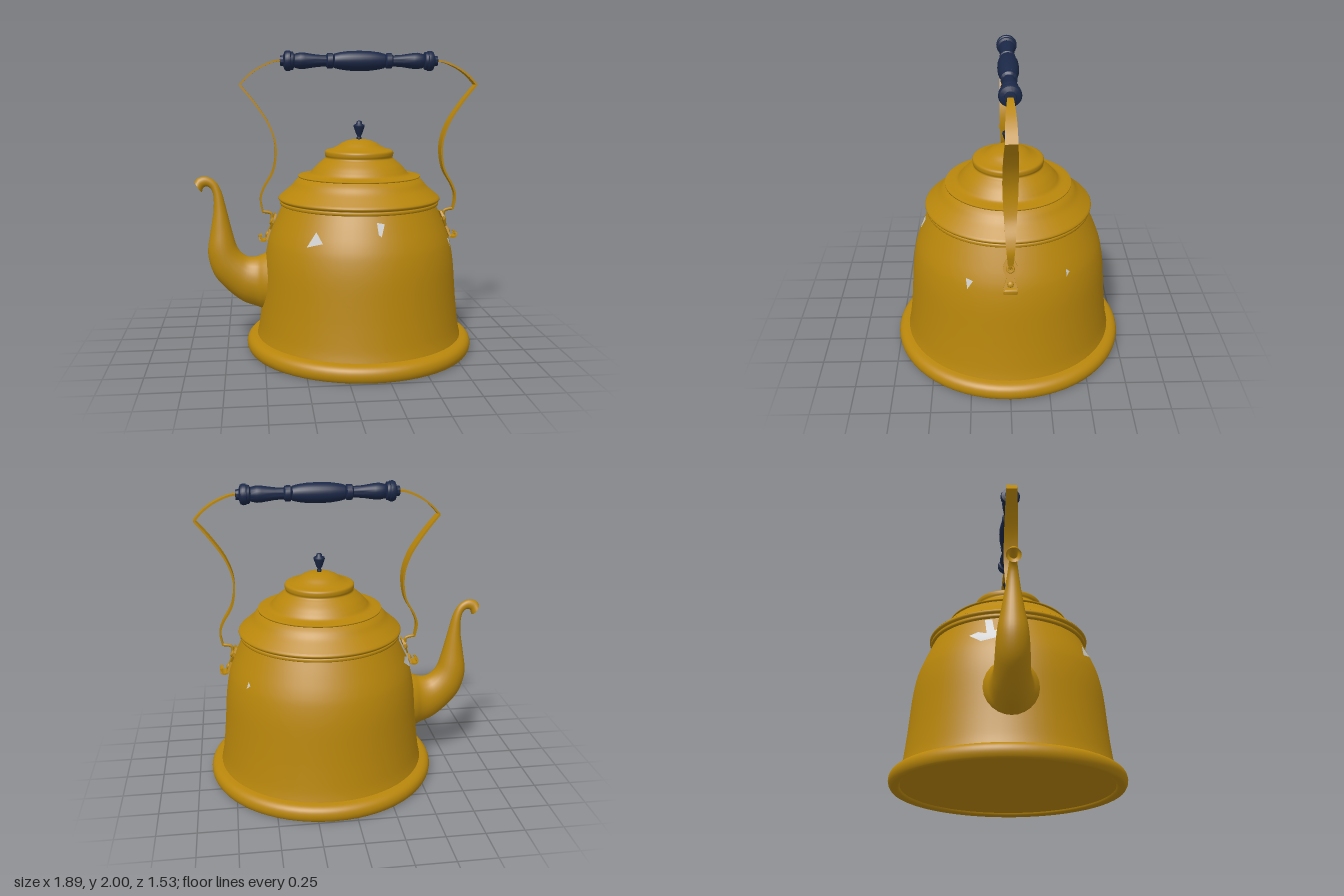
import * as THREE from 'three';
import { toCreasedNormals } from 'three/addons/utils/BufferGeometryUtils.js';

const CX = 0.149; // axis of the kettle body
const enamel = new THREE.MeshStandardMaterial({ color: 0xb8860b, side: THREE.DoubleSide });
const navy = new THREE.MeshStandardMaterial({ color: 0x1b2847 });
const bare = new THREE.MeshStandardMaterial({ color: 0xcccccc, side: THREE.DoubleSide });
const V2 = (x, y) => new THREE.Vector2(x, y);
const V3 = (x, y, z) => new THREE.Vector3(x, y, z);

function part(name, geometry, material, parent) {
  const mesh = new THREE.Mesh(geometry, material);
  mesh.name = name;
  parent.add(mesh);
  return mesh;
}

// Lathe from [radius, height] points; smooth profiles pass through a spline
function turn(points, samples = 0, segments = 64) {
  let pts = points.map(p => V2(...p));
  if (samples) pts = new THREE.SplineCurve(pts).getPoints(samples);
  pts.forEach(p => { p.x = Math.max(p.x, 0); });
  return new THREE.LatheGeometry(pts, segments);
}

// Skin over a row of closed rings
function loft(rings) {
  const n = rings[0].length, pos = [], idx = [];
  rings.forEach(r => r.forEach(p => pos.push(p.x, p.y, p.z)));
  for (let i = 0; i < rings.length - 1; i++) {
    for (let j = 0; j < n; j++) {
      const a = i * n + j, b = i * n + (j + 1) % n;
      idx.push(a, a + n, b, b, a + n, b + n);
    }
  }
  const geo = new THREE.BufferGeometry();
  geo.setAttribute('position', new THREE.Float32BufferAttribute(pos, 3));
  geo.setIndex(idx);
  geo.computeVertexNormals();
  return geo;
}

// Flat metal strip through [x, y, halfWidth] stations
function strip(stations, samples = 24, t = 0.006) {
  const curve = new THREE.CatmullRomCurve3(stations.map(s => V3(...s)));
  const rings = [];
  for (let i = 0; i <= samples; i++) {
    const u = i / samples, p = curve.getPoint(u), d = curve.getTangent(u);
    const n = V2(-d.y, d.x).normalize().multiplyScalar(t);
    rings.push([[1, 1], [1, -1], [-1, -1], [-1, 1]].map(([a, b]) => V3(p.x + a * n.x, p.y + a * n.y, b * p.z)));
  }
  return toCreasedNormals(loft(rings), 0.7);
}

const wall = [[0.695, 0.1], [0.68, 0.17], [0.664, 0.3], [0.653, 0.42], [0.638, 0.6], [0.618, 0.72],
  [0.594, 0.8], [0.557, 0.89], [0.515, 0.985]];

function wallRadius(y) {
  const i = Math.max(1, wall.findIndex(p => p[1] >= y));
  const [a, b] = [wall[i - 1], wall[i]];
  return a[0] + (b[0] - a[0]) * (y - a[1]) / (b[1] - a[1]);
}

// Bare-metal chip: outline in [angle, height], wrapped onto the wall
function chip(outline) {
  const geo = new THREE.ShapeGeometry(new THREE.Shape(outline.map(p => V2(...p))));
  const p = geo.attributes.position;
  for (let i = 0; i < p.count; i++) {
    const a = p.getX(i), y = p.getY(i), r = wallRadius(y) + 0.012;
    p.setXYZ(i, r * Math.cos(a), y, r * Math.sin(a));
  }
  geo.computeVertexNormals();
  return geo;
}

// Spout sections: under point, upper point, half width
function spoutGeometry() {
  const s = [
    [-0.46, 0.265, -0.46, 0.665, 0.18], [-0.51, 0.28, -0.5, 0.65, 0.155], [-0.55, 0.295, -0.54, 0.635, 0.13],
    [-0.64, 0.33, -0.6, 0.635, 0.113], [-0.75, 0.42, -0.645, 0.665, 0.105], [-0.83, 0.52, -0.675, 0.71, 0.1],
    [-0.867, 0.66, -0.695, 0.775, 0.09], [-0.85, 0.8, -0.715, 0.855, 0.07], [-0.825, 0.95, -0.742, 0.97, 0.048],
    [-0.825, 1.06, -0.772, 1.085, 0.032], [-0.84, 1.1, -0.81, 1.15, 0.025], [-0.86, 1.115, -0.87, 1.182, 0.025],
    [-0.885, 1.11, -0.922, 1.172, 0.032], [-0.898, 1.078, -0.945, 1.148, 0.046]];
  const low = new THREE.CatmullRomCurve3(s.map(q => V3(q[0], q[1], q[4])));
  const high = new THREE.CatmullRomCurve3(s.map(q => V3(q[2], q[3], q[4])));
  const rings = [];
  for (let i = 0; i <= 52; i++) {
    const a = low.getPoint(i / 52), b = high.getPoint(i / 52), ring = [];
    for (let j = 0; j < 24; j++) {
      const t = j / 24 * Math.PI * 2, k = (1 + Math.cos(t)) / 2;
      ring.push(V3(a.x + (b.x - a.x) * k, a.y + (b.y - a.y) * k, a.z * Math.sin(t)));
    }
    rings.push(ring);
  }
  return loft(rings);
}

// One side of the carrying handle with its lug, on +x
function bailSide() {
  const g = new THREE.Group();
  part('upperStrap', strip([[0.5, 1.937, 0.014], [0.56, 1.932, 0.02], [0.66, 1.89, 0.029], [0.73, 1.84, 0.034],
    [0.787, 1.78, 0.036]]), enamel, g);
  part('lowerStrap', strip([[0.787, 1.78, 0.036], [0.69, 1.66, 0.042], [0.6, 1.52, 0.046], [0.558, 1.38, 0.046],
    [0.575, 1.22, 0.038], [0.64, 1.1, 0.03], [0.661, 1.03, 0.024], [0.648, 0.937, 0.016]], 40), enamel, g);
  const hook = new THREE.CatmullRomCurve3([V3(0.648, 0.94, 0), V3(0.615, 0.936, 0), V3(0.59, 0.925, 0),
    V3(0.585, 0.89, 0), V3(0.575, 0.86, 0)]);
  part('strapHook', new THREE.TubeGeometry(hook, 16, 0.01, 8), enamel, g);

  // Waisted lug plate leaning against the wall
  const lug = new THREE.Group();
  lug.name = 'lug';
  const half = [[0.045, 0], [0.024, 0.075], [0.045, 0.125], [0.042, 0.15], [0.025, 0.185]];
  const outline = [...half, ...half.map(([z, y]) => [-z, y]).reverse()];
  const plate = new THREE.ExtrudeGeometry(new THREE.Shape(outline.map(p => V2(...p))), { depth: 0.014, bevelEnabled: false });
  part('lugPlate', plate, enamel, lug);
  part('lugEye', new THREE.TorusGeometry(0.019, 0.008, 8, 20), enamel, lug).position.set(0, 0.13, 0.017);
  const rivet = part('rivet', new THREE.SphereGeometry(0.02, 16, 10), enamel, lug);
  rivet.position.set(0, 0.035, 0.014);
  rivet.scale.z = 0.6;
  lug.rotation.set(-0.36, Math.PI / 2, 0, 'YXZ');
  lug.position.set(0.62, 0.75, 0);
  g.add(lug);
  part('lugLip', strip([[0.622, 0.755, 0.044], [0.645, 0.746, 0.042], [0.668, 0.755, 0.04], [0.67, 0.775, 0.036],
    [0.655, 0.78, 0.034]], 12), enamel, g);
  return g;
}

export function createModel() {
  const model = new THREE.Group();
  const kettle = new THREE.Group();
  kettle.name = 'kettle';
  kettle.position.x = CX;
  model.add(kettle);

  // Body, foot and shoulder
  part('bodyWall', turn(wall, 40), enamel, kettle);
  part('footRoll', turn([[0.69, 0.02], [0.7, 0.004], [0.74, 0], [0.758, 0.02], [0.764, 0.05], [0.755, 0.08],
    [0.73, 0.1], [0.69, 0.108]], 28), enamel, kettle);
  part('bottom', turn([[0, 0.02], [0.7, 0.02]]), enamel, kettle);
  part('rim', turn([[0.51, 0.985], [0.53, 0.99], [0.532, 1.005], [0.527, 1.012], [0.538, 1.02], [0.541, 1.032],
    [0.53, 1.045]], 24), enamel, kettle);
  part('shoulder', turn([[0.532, 1.044], [0.495, 1.075], [0.455, 1.11], [0.425, 1.145], [0.395, 1.17]], 16), enamel, kettle);

  // Stepped lid and knob
  part('lidEdge', turn([[0.38, 1.168], [0.408, 1.172], [0.408, 1.18], [0.36, 1.184]]), enamel, kettle);
  part('lid', turn([[0.38, 1.182], [0.335, 1.192], [0.308, 1.22], [0.28, 1.25], [0.243, 1.282], [0.224, 1.3],
    [0.229, 1.32], [0.224, 1.345], [0.185, 1.357], [0.15, 1.373], [0.11, 1.398], [0.06, 1.416], [0, 1.421]], 60), enamel, kettle);
  part('knob', turn([[0, 1.415], [0.016, 1.415], [0.016, 1.432], [0.011, 1.438], [0.02, 1.455], [0.037, 1.505],
    [0.036, 1.515], [0.02, 1.522], [0.018, 1.536], [0.01, 1.542], [0, 1.543]], 0, 20), navy, kettle);

  // Spout
  part('spout', spoutGeometry(), enamel, kettle).position.x = -CX;

  // Turned grip, mirrored profile
  const halfGrip = [[0.066, 0], [0.064, 0.07], [0.056, 0.13], [0.047, 0.166], [0.04, 0.172], [0.051, 0.18], [0.05, 0.212],
    [0.036, 0.222], [0.04, 0.28], [0.052, 0.36], [0.054, 0.39], [0.046, 0.425], [0.042, 0.43], [0.058, 0.437],
    [0.06, 0.453], [0.066, 0.458], [0.067, 0.478], [0.06, 0.492], [0.045, 0.498], [0.034, 0.502], [0.032, 0.522], [0, 0.524]];
  const gripProfile = [...halfGrip.slice(1).reverse().map(([r, d]) => [r, -d]), ...halfGrip];
  const grip = part('grip', toCreasedNormals(turn(gripProfile, 0, 28), 0.6), navy, kettle);
  grip.rotation.z = -Math.PI / 2;
  grip.position.y = 1.935;

  // Handle straps on both sides
  ['left', 'right'].forEach((side, i) => {
    const bail = bailSide();
    bail.name = side + 'Bail';
    bail.rotation.y = i * Math.PI;
    kettle.add(bail);
  });

  // Chips in the enamel
  [
    [[2.26, 0.79], [2.18, 0.885], [2.08, 0.82]],
    [[1.5, 0.95], [1.41, 0.94], [1.46, 0.865], [1.49, 0.88]],
    [[0.46, 0.79], [0.38, 0.78], [0.43, 0.725]],
    [[-0.65, 0.79], [-0.61, 0.81], [-0.6, 0.765]],
    [[3.24, 0.82], [3.45, 0.79], [3.6, 0.85], [3.5, 0.87], [3.4, 0.85], [3.45, 0.97], [3.36, 0.97], [3.32, 0.87], [3.2, 0.9]],
  ].forEach(outline => part('chip', chip(outline), bare, kettle));

  return model;
}
